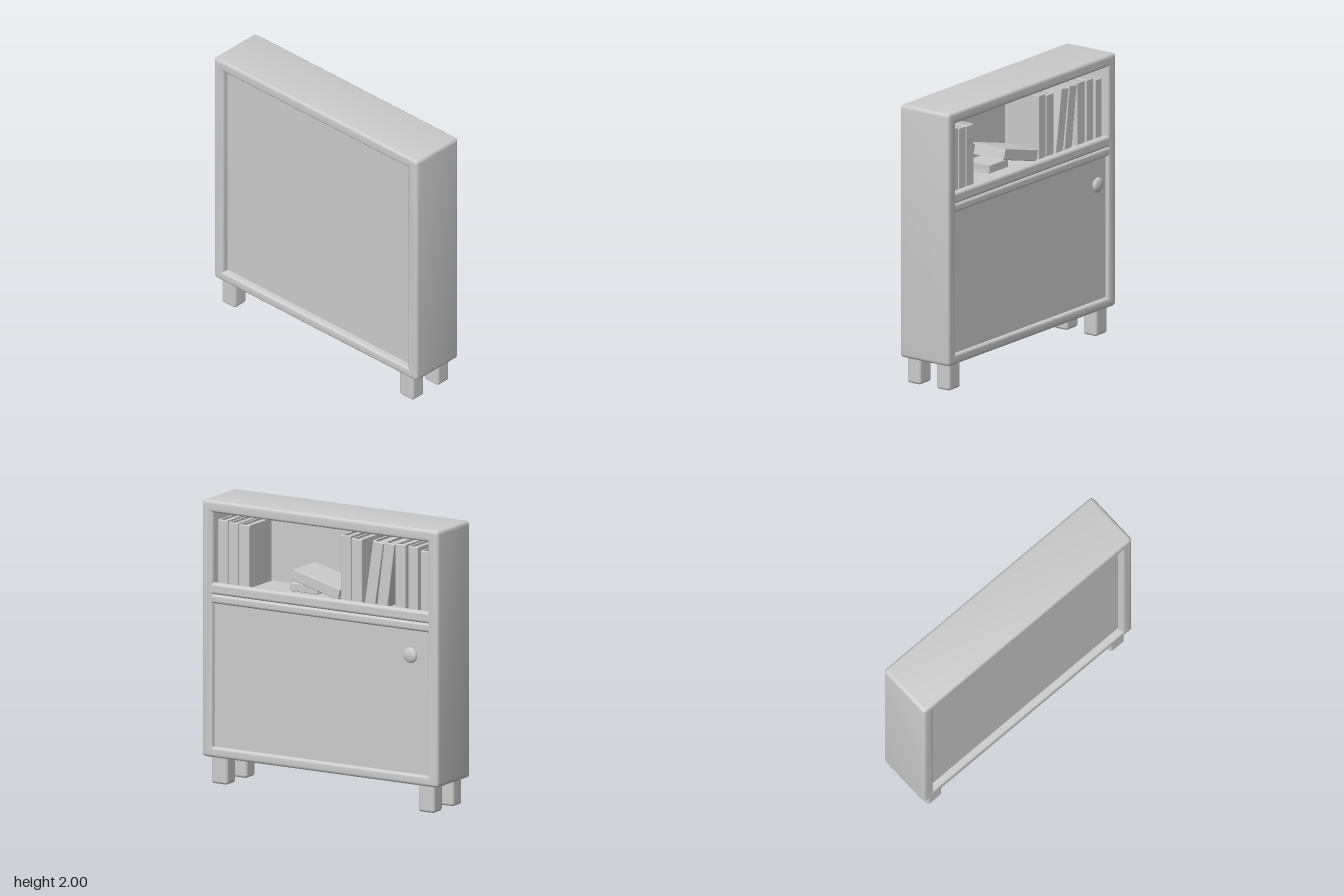
import * as THREE from 'three';
import { toCreasedNormals } from 'three/addons/utils/BufferGeometryUtils.js';
import { RoundedBoxGeometry } from 'three/addons/geometries/RoundedBoxGeometry.js';

const grey = new THREE.MeshStandardMaterial({ color: 0xcccccc });

function add(parent, name, geometry, x = 0, y = 0, z = 0) {
  const mesh = new THREE.Mesh(geometry, grey);
  mesh.name = name;
  mesh.position.set(x, y, z);
  parent.add(mesh);
  return mesh;
}

// Box given by its limits; r > 0 rounds the edges
function block(parent, name, [x0, x1], [y0, y1], [z0, z1], r = 0) {
  const size = [x1 - x0, y1 - y0, z1 - z0];
  const geometry = r ? new RoundedBoxGeometry(...size, 3, r) : new THREE.BoxGeometry(...size);
  return add(parent, name, geometry, (x0 + x1) / 2, (y0 + y1) / 2, (z0 + z1) / 2);
}

function roundedRect(path, x0, y0, x1, y1, r) {
  path.moveTo(x0 + r, y0);
  path.lineTo(x1 - r, y0);
  path.quadraticCurveTo(x1, y0, x1, y0 + r);
  path.lineTo(x1, y1 - r);
  path.quadraticCurveTo(x1, y1, x1 - r, y1);
  path.lineTo(x0 + r, y1);
  path.quadraticCurveTo(x0, y1, x0, y1 - r);
  path.lineTo(x0, y0 + r);
  path.quadraticCurveTo(x0, y0, x0 + r, y0);
  return path;
}

// Open carcass with softened front and back rims
function carcassGeometry() {
  const bevel = 0.022;
  const shape = roundedRect(new THREE.Shape(), -0.96, 0.19, 0.96, 2, 0.03);
  const hole = new THREE.Path();
  hole.moveTo(-0.872, 0.265);
  hole.lineTo(-0.872, 1.915);
  hole.lineTo(0.872, 1.915);
  hole.lineTo(0.872, 0.265);
  hole.closePath();
  shape.holes.push(hole);
  const geometry = new THREE.ExtrudeGeometry(shape, {
    depth: 0.42 - 2 * bevel, bevelSize: bevel, bevelThickness: bevel,
    bevelOffset: -bevel, bevelSegments: 4, curveSegments: 4,
  });
  geometry.translate(0, 0, -0.2 + bevel);
  return toCreasedNormals(geometry, 0.6);
}

// Book standing on its lower edge, spine towards -z, origin at bottom centre
function makeBook(name, thick, high, deep) {
  const book = new THREE.Group();
  book.name = name;
  const t = 0.012, h = thick / 2, d = deep / 2;
  block(book, 'spine', [-h, h], [0, high], [-d, -d + 0.02], 0.006);
  for (const s of [-1, 1]) {
    const outer = s * h, inner = s * (h - t);
    block(book, 'cover', [Math.min(outer, inner), Math.max(outer, inner)], [0, high], [-d + 0.008, d]);
  }
  block(book, 'pages', [-h + t, h - t], [0.012, high - 0.015], [-d + 0.015, d - 0.012]);
  return book;
}

export function createModel() {
  const model = new THREE.Group();
  model.name = 'bookCabinet';

  add(model, 'carcass', carcassGeometry());
  block(model, 'frontPanel', [-0.89, 0.89], [0.25, 1.93], [0.145, 0.17]);
  block(model, 'doorPanel', [-0.89, 0.89], [0.25, 1.3], [-0.175, -0.15]);

  // Shelf with two rounded rails along its edge
  block(model, 'shelf', [-0.89, 0.89], [1.33, 1.405], [-0.17, 0.15]);
  block(model, 'upperRail', [-0.92, 0.92], [1.338, 1.42], [-0.198, -0.14], 0.022);
  block(model, 'lowerRail', [-0.92, 0.92], [1.275, 1.342], [-0.198, -0.14], 0.022);

  // Round door knob
  const profile = [[0, 0], [0.026, 0], [0.026, 0.018], [0.045, 0.022], [0.055, 0.033],
    [0.053, 0.042], [0.042, 0.051], [0.022, 0.056], [0, 0.057]].map(([x, y]) => new THREE.Vector2(x, y));
  const knob = add(model, 'doorKnob', new THREE.LatheGeometry(profile, 24), -0.74, 1.105, -0.172);
  knob.rotation.x = -Math.PI / 2;

  // Four short legs
  for (const x of [-0.84, 0.84]) {
    for (const z of [-0.108, 0.143]) {
      block(model, 'leg', [x - 0.066, x + 0.066], [0, 0.23], [z - 0.058, z + 0.058], 0.02);
    }
  }

  // Upright and leaning books: x at the foot, thickness, height, lean
  const floor = 1.405;
  const uprights = [
    [0.82, 0.08, 0.455, 0], [0.735, 0.08, 0.445, 0], [0.647, 0.085, 0.44, 0],
    [-0.18, 0.08, 0.465, 0], [-0.268, 0.085, 0.45, 0],
    [-0.375, 0.085, 0.45, 0.15], [-0.475, 0.085, 0.45, 0.13],
    [-0.622, 0.085, 0.455, 0], [-0.725, 0.08, 0.45, 0], [-0.825, 0.075, 0.43, 0],
  ];
  for (const [x, thick, high, lean] of uprights) {
    const book = makeBook('uprightBook', thick, high, 0.29);
    book.position.set(x, floor + Math.sin(lean) * thick / 2, -0.005);
    book.rotation.z = lean;
    model.add(book);
  }

  // Fallen book propped on a small flat one
  const flat = makeBook('flatBook', 0.06, 0.22, 0.2);
  flat.position.set(0.05, floor + 0.03, 0.03);
  flat.rotation.z = -Math.PI / 2;
  model.add(flat);
  const fallen = makeBook('fallenBook', 0.08, 0.39, 0.28);
  fallen.position.set(-0.125, floor + 0.042, -0.01);
  fallen.rotation.z = Math.PI / 2 - 0.25;
  model.add(fallen);

  // Mirror the lean directions so tops tip towards -x and the fallen book rises towards +x
  flat.position.x = 0.1;
  fallen.rotation.z = -Math.PI / 2 + 0.25;
  return model;
}
